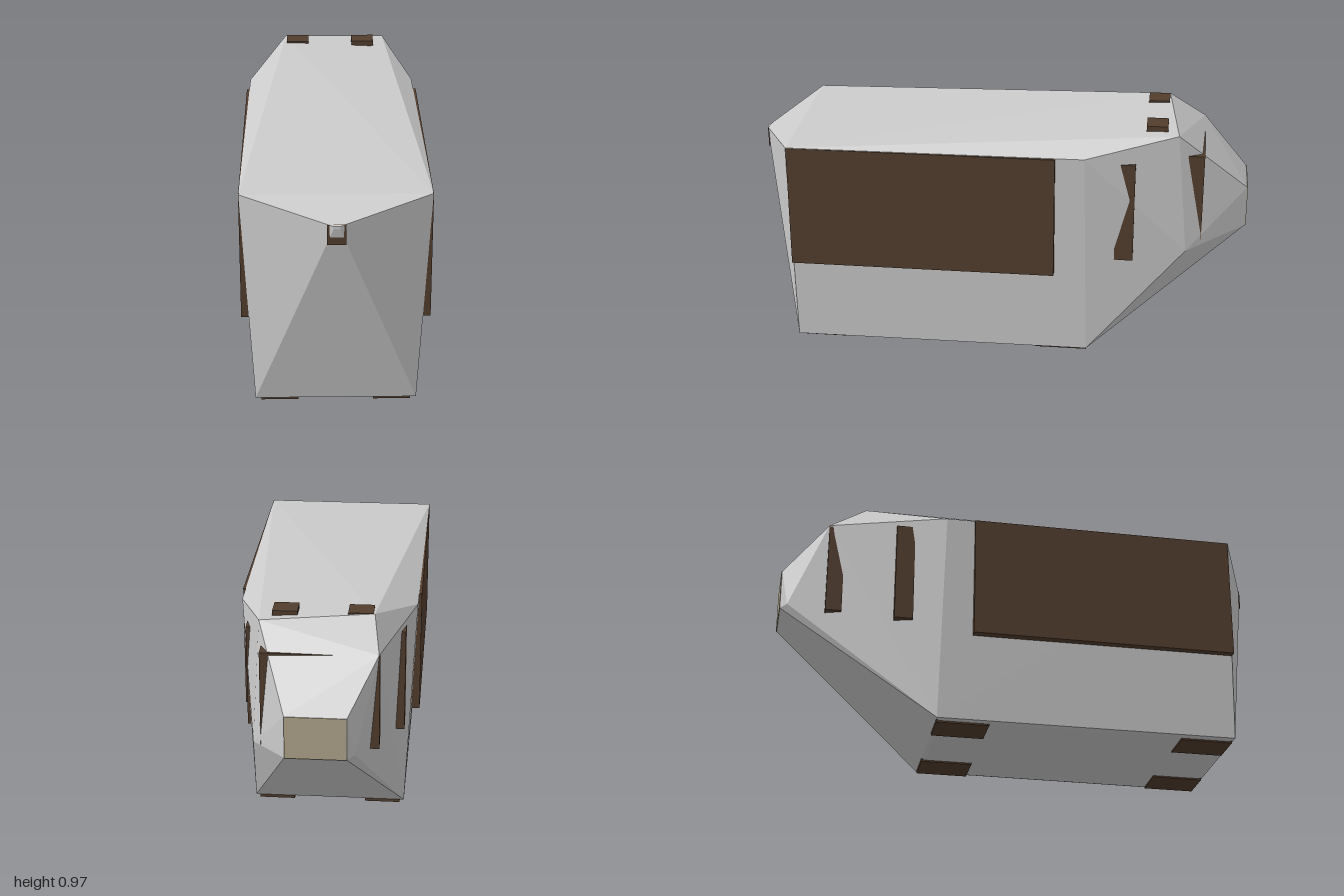
import * as THREE from 'three';
import { ConvexGeometry } from 'three/addons/geometries/ConvexGeometry.js';

export function createModel() {
  const group = new THREE.Group();
  const grey = new THREE.MeshStandardMaterial({ color: 0xcccccc, flatShading: true });
  const brown = new THREE.MeshStandardMaterial({ color: 0x533e2e });
  const tan = new THREE.MeshStandardMaterial({ color: 0xb0a68c });

  const add = (name, geometry, material) => {
    const mesh = new THREE.Mesh(geometry, material);
    mesh.name = name;
    group.add(mesh);
    return mesh;
  };
  // Box given by its minimum and maximum on each axis
  const box = (name, [x0, x1], [y0, y1], [z0, z1], material = brown) =>
    add(name, new THREE.BoxGeometry(x1 - x0, y1 - y0, z1 - z0), material)
      .position.set((x0 + x1) / 2, (y0 + y1) / 2, (z0 + z1) / 2);

  // Faceted body: mirrored corners plus a few one-sided ones
  const points = [];
  const pairs = [
    [0.357, 0.877, 0.84], [0.31, 0.013, 0.838], [0.29, 0.006, 0.82], // front corners
    [0.012, 0.822, 0.998], [0.012, 0.81, 0.998], // blunt front point
    [0.346, 0.877, -0.35], [0.305, 0.013, -0.37], [0.285, 0.006, -0.355], // shoulders
    [0.115, 0.69, -0.997], [0.115, 0.522, -0.997], // blunt back end
  ];
  for (const [x, y, z] of pairs) {
    points.push(new THREE.Vector3(x, y, z), new THREE.Vector3(-x, y, z));
  }
  points.push(
    new THREE.Vector3(-0.195, 0.966, -0.67),
    new THREE.Vector3(0.235, 0.947, -0.715),
    new THREE.Vector3(-0.22, 0.865, -0.82),
    new THREE.Vector3(0.26, 0.462, -0.76),
    new THREE.Vector3(-0.143, 0.53, -0.97),
  );
  add('body', new ConvexGeometry(points), grey);

  // Long side panels, roof blocks and foot pads on both sides
  for (const [side, s] of [['left', 1], ['right', -1]]) {
    const span = (a, b) => (s > 0 ? [a, b] : [-b, -a]);
    box(side + 'SidePanel', span(0.325, 0.358), [0.368, 0.875], [-0.235, 0.839]);
    box(side + 'RoofBlock', span(0.095, 0.19), [0.945, 0.967], [-0.67, -0.585]);
    box(side + 'FrontPad', span(0.145, 0.288), [0, 0.014], [0.62, 0.83]);
    box(side + 'BackPad', span(0.145, 0.288), [0, 0.014], [-0.37, -0.16]);
  }

  // Cross slabs that break through the sides near the back
  box('middleSlab', [-0.308, 0.308], [0.43, 0.845], [-0.55, -0.475]);
  box('rearSlab', [-0.224, 0.224], [0.48, 0.86], [-0.82, -0.755]);

  // Frame around the front point and pale plate on the back end
  box('frontFrame', [-0.035, 0.035], [0.745, 0.825], [0.96, 0.991]);
  box('backPlate', [-0.115, 0.115], [0.522, 0.69], [-1, -0.99], tan);

  return group;
}
